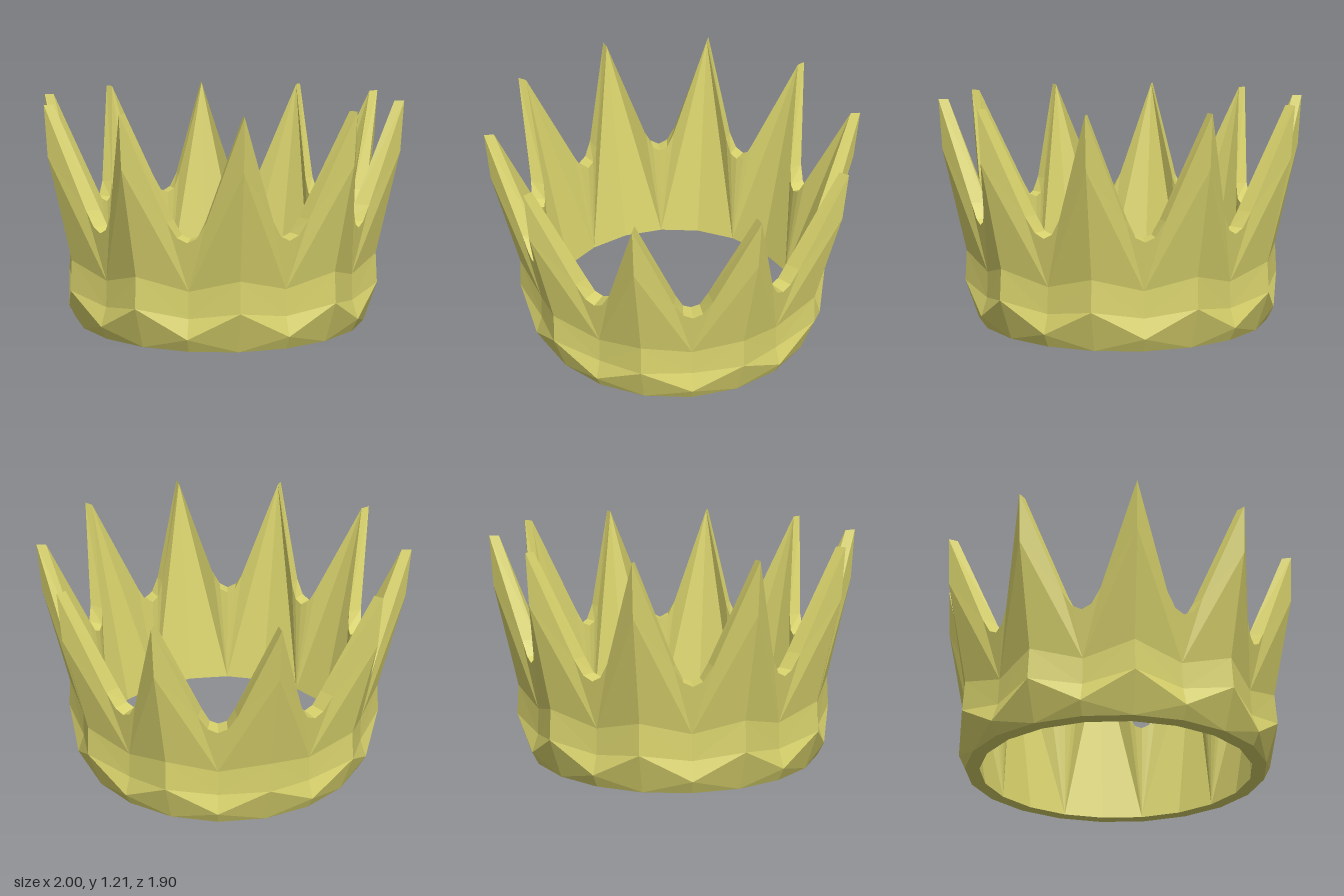
import * as THREE from 'three';

const POINTS = 10;
const STEP = Math.PI / POINTS; // angle from a spike to the next valley

// Cross-section points: [fraction of the way from spike to valley, radius, height]
const S = [[0, 0.805, 0], [0, 0.875, 0.215], [0, 0.865, 0.38], [0, 0.985, 0.94], [0, 1, 1.21]];
const V = [[1, 0.805, 0], [1, 0.84, 0.07], [1, 0.805, 0.17], [1, 0.8, 0.31], [1, 0.835, 0.565]];
const rimOuter = [S[4], [0.63, 0.855, 0.67], [0.81, 0.84, 0.59], V[4]];
const rimInner = [[0, 0.948, 1.21], [0.66, 0.775, 0.67], [0.82, 0.757, 0.59], [1, 0.75, 0.57]];
const innerS = [0, 0.728, 0];
const innerV = [1, 0.728, 0];

const quad = (a, b, c, d) => [[a, b, c], [a, c, d]];

// Repeats the triangles of one half sector around the ring, mirrored on each spike
function ringGeometry(tris) {
  const pos = [];
  for (let i = 0; i < POINTS; i++) {
    for (const side of [1, -1]) {
      for (const tri of tris) {
        const ordered = side > 0 ? tri : [tri[0], tri[2], tri[1]];
        for (const [t, r, y] of ordered) {
          const a = (2 * i + side * t) * STEP;
          pos.push(r * Math.cos(a), y, r * Math.sin(a));
        }
      }
    }
  }
  const geo = new THREE.BufferGeometry();
  geo.setAttribute('position', new THREE.Float32BufferAttribute(pos, 3));
  geo.computeVertexNormals();
  return geo;
}

export function createModel() {
  const crown = new THREE.Group();
  crown.name = 'crown';
  const gold = new THREE.MeshStandardMaterial({ color: 0xd8d26c, flatShading: true });
  const add = (name, tris) => {
    const mesh = new THREE.Mesh(ringGeometry(tris), gold);
    mesh.name = name;
    crown.add(mesh);
  };

  // Flared foot and the zigzag band above it
  add('foot', quad(S[0], S[1], V[1], V[0]));
  add('zigzagBand', quad(S[1], S[2], V[2], V[1]));

  // Faceted outside of the spikes, fanning out of the valley
  const [, r1, r2] = rimOuter;
  add('spikesOutside', [
    [S[2], V[3], V[2]],
    [S[2], S[3], V[3]],
    [S[3], r1, V[3]],
    [S[3], S[4], r1],
    [r1, r2, V[3]],
    [r2, V[4], V[3]],
  ]);

  // Top edge running from spike tip to valley
  add('rim', [0, 1, 2].flatMap((i) =>
    quad(rimOuter[i], rimInner[i], rimInner[i + 1], rimOuter[i + 1])));

  // Inside wall
  add('insideWall', [
    [innerS, innerV, rimInner[0]],
    ...[0, 1, 2].map((i) => [rimInner[i], innerV, rimInner[i + 1]]),
  ]);

  // Flat underside
  add('baseRing', quad(S[0], V[0], innerV, innerS));

  return crown;
}
